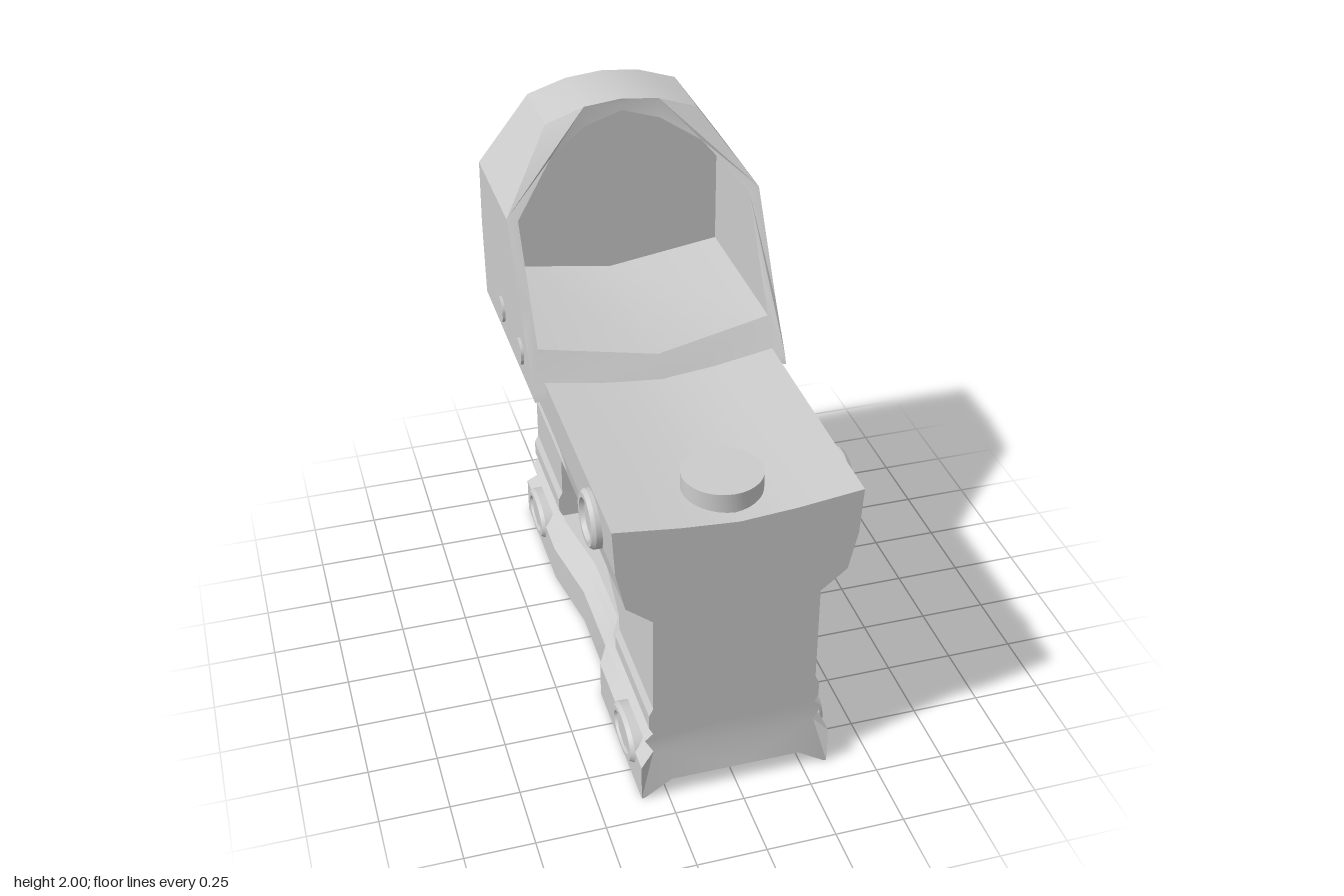
import * as THREE from 'three';
import { toCreasedNormals } from 'three/addons/utils/BufferGeometryUtils.js';

const material = new THREE.MeshStandardMaterial({ color: 0xcccccc });

function addMesh(parent, name, geometry, crease = 0.45) {
  const mesh = new THREE.Mesh(toCreasedNormals(geometry, crease), material);
  mesh.name = name;
  parent.add(mesh);
  return mesh;
}

const toShape = (pts) => new THREE.Shape(pts.map(([x, y]) => new THREE.Vector2(x, y)));

// Closed, symmetric outline from its right half (listed bottom to top)
const mirrored = (half) => [
  ...half,
  ...half.filter(([x]) => x > 0).reverse().map(([x, y]) => [-x, y]),
];

// Extrude a shape, then move every vertex by a rule
function extrudeBy(shape, steps, rule) {
  const g = new THREE.ExtrudeGeometry(shape, { depth: steps, steps, bevelEnabled: false, curveSegments: 8 });
  const p = g.attributes.position;
  for (let i = 0; i < p.count; i++) p.setXYZ(i, ...rule(p.getX(i), p.getY(i), p.getZ(i)));
  return g;
}

// Piecewise linear lookup in [[key, value], ...]
function lookup(table, k) {
  for (let i = 1; i < table.length; i++) {
    const [k0, v0] = table[i - 1], [k1, v1] = table[i];
    if (k <= k1) return v0 + (v1 - v0) * Math.max(0, (k - k0) / (k1 - k0));
  }
  return table[table.length - 1][1];
}

// Half width of the mount at each height
const WIDTHS = [[0.27, 0.295], [0.3, 0.31], [0.355, 0.31], [0.385, 0.295], [0.77, 0.295], [0.845, 0.388], [0.99, 0.42]];

// Side-view slab (u = -z, y) spanning the full width of the mount
function slab(parent, name, pts, hole) {
  const shape = toShape(pts);
  if (hole) shape.holes.push(toShape(hole));
  addMesh(parent, name, extrudeBy(shape, 1, (u, y, c) => [(c * 2 - 1) * lookup(WIDTHS, y), y, -u]));
}

const rect = (u0, u1, y0, y1) => [[u0, y0], [u1, y0], [u1, y1], [u0, y1]];

function createMount() {
  const g = new THREE.Group();
  g.name = 'mount';
  const L = 0.875;
  // Lower legs with the small rounded bead
  for (let i = 0; i < 3; i++) {
    const y0 = WIDTHS[i][0], y1 = WIDTHS[i + 1][0];
    slab(g, 'frontLegBead', rect(-L, -0.43, y0, y1));
    slab(g, 'rearLegBead', rect(0.445, L, y0, y1));
  }
  // Riser around the side window
  slab(g, 'riser', [
    [-L, 0.385], [-0.43, 0.385], [-0.43, 0.445], [0, 0.705], [0.37, 0.705],
    [0.44, 0.66], [0.445, 0.385], [L, 0.385], [L, 0.77], [-L, 0.77],
  ]);
  slab(g, 'flare', rect(-L, L, 0.77, 0.845));
  // Upper body with the through slot
  slab(g, 'upperBody', rect(-L, L, 0.845, 0.99), [
    [-0.11, 0.895], [-0.11, 0.945], [-0.085, 0.972], [-0.035, 0.984], [0.36, 0.984],
    [0.41, 0.972], [0.435, 0.945], [0.435, 0.895], [0.41, 0.867], [0.36, 0.855], [-0.035, 0.855], [-0.085, 0.867],
  ]);
  // Top deck with a shallow dip
  const deck = toShape([[-0.42, 0.99], [0.42, 0.99], [0.43, 1.165], [0.2, 1.137], [0, 1.122], [-0.2, 1.137], [-0.43, 1.165]]);
  addMesh(g, 'topDeck', extrudeBy(deck, 1, (x, y, t) => [x, y, (t * 2 - 1) * L]));
  return g;
}

function createClamp() {
  // Stations along z: position, half width, inner edge of the foot
  const stations = [
    [-0.9, 0.345, 0.335], [-0.55, 0.345, 0.24], [-0.4, 0.345, 0.24], [-0.1, 0.3, 0.24],
    [0.235, 0.3, 0.24], [0.33, 0.345, 0.24], [0.55, 0.345, 0.24], [0.9, 0.345, 0.335],
  ];
  const half = [
    [0, 0.065], [0.235, 0.065], [0.24, 0], [0.345, 0], [0.345, 0.145],
    [0.295, 0.19], [0.325, 0.245], [0.295, 0.272], [0, 0.272],
  ];
  return extrudeBy(toShape(mirrored(half)), stations.length - 1, (x, y, t) => {
    const [z, w, foot] = stations[Math.round(t)];
    const s = Math.sign(x), a = Math.abs(x);
    let nx = x;
    if (y < 0.001 && a < 0.3) nx = s * foot;
    else if (a > 0.25) nx = s * (a + w - 0.345);
    return [nx, y, y > 0.18 ? THREE.MathUtils.clamp(z, -0.875, 0.875) : z];
  });
}

function createHood() {
  const g = new THREE.Group();
  g.name = 'hood';
  const outer = [
    [0, 1.11], [0.475, 1.11], [0.475, 1.14], [0.475, 1.3], [0.475, 1.4], [0.475, 1.665],
    [0.285, 1.935], [0.14, 1.985], [0, 2],
  ];
  const inner = [[0, 1.2], [0.435, 1.265], [0.435, 1.4], [0.435, 1.655], [0.285, 1.83], [0.14, 1.915], [0, 1.955]];
  const frontZ = [[1.11, -0.02], [1.14, -0.035], [1.3, -0.15], [1.935, -0.55], [2, -0.55]];
  const backZ = [[1.11, -0.868], [1.4, -0.89], [1.665, -0.875], [2, -0.825]];
  const shell = toShape(mirrored(outer));
  shell.holes.push(toShape(mirrored(inner)));
  addMesh(g, 'hoodShell', extrudeBy(shell, 1, (x, y, t) => [x, y, lookup(t > 0.5 ? frontZ : backZ, y)]));
  // Lens pane set in from the back rim
  const pane = toShape(mirrored(inner));
  addMesh(g, 'lens', extrudeBy(pane, 1, (x, y, t) => [x, y, -0.79 + t * 0.02]));
  return g;
}

// Turned part along +y from a [radius, height] profile
const turned = (pts) => new THREE.LatheGeometry(pts.map(([r, y]) => new THREE.Vector2(r, y)), 32);
const disc = (r, h) => turned([[r, 0], [r, h], [0, h]]);
const dished = (r, h) => turned([[r, 0], [r, h * 0.75], [r * 0.9, h], [r * 0.72, h], [r * 0.66, h * 0.7], [0, h * 0.7]]);

// Scalloped key face, along +y
function rosette(r, h) {
  const pts = [];
  for (let i = 0; i < 48; i++) {
    const a = (i / 48) * Math.PI * 2, q = r * (1 + 0.06 * Math.cos(a * 8));
    pts.push([q * Math.cos(a), q * Math.sin(a)]);
  }
  return extrudeBy(toShape(pts), 1, (x, y, t) => [x, y, t * h]).rotateX(-Math.PI / 2);
}

export function createModel() {
  const model = new THREE.Group();
  model.name = 'reflexSight';
  model.add(createMount());
  addMesh(model, 'railClamp', createClamp());
  model.add(createHood());

  // Top adjustment knob
  addMesh(model, 'topKnob', disc(0.14, 0.095)).position.set(0, 1.1, 0.683);

  // Side fittings, mirrored
  for (const s of [1, -1]) {
    const side = s > 0 ? 'left' : 'right';
    const place = (name, geo, x, y, z, sy = 1, sz = 1) => {
      geo.rotateZ(-s * Math.PI / 2).scale(1, sy, sz);
      addMesh(model, side + name, geo).position.set(s * x, y, z);
    };
    place('Dial', dished(0.104, 0.055), 0.403, 1.05, 0.628);
    for (const z of [-0.23, -0.55]) place('HoodPin', disc(0.05, 0.025), 0.461, 1.205, z);
    for (const z of [0.683, -0.69]) {
      place('ClampNut', dished(0.137, 0.06), 0.3, 0.124, z, 0.61, 1);
      place('NutKey', rosette(0.085, 0.052), 0.3, 0.124, z, 0.64, 1);
    }
  }
  return model;
}
